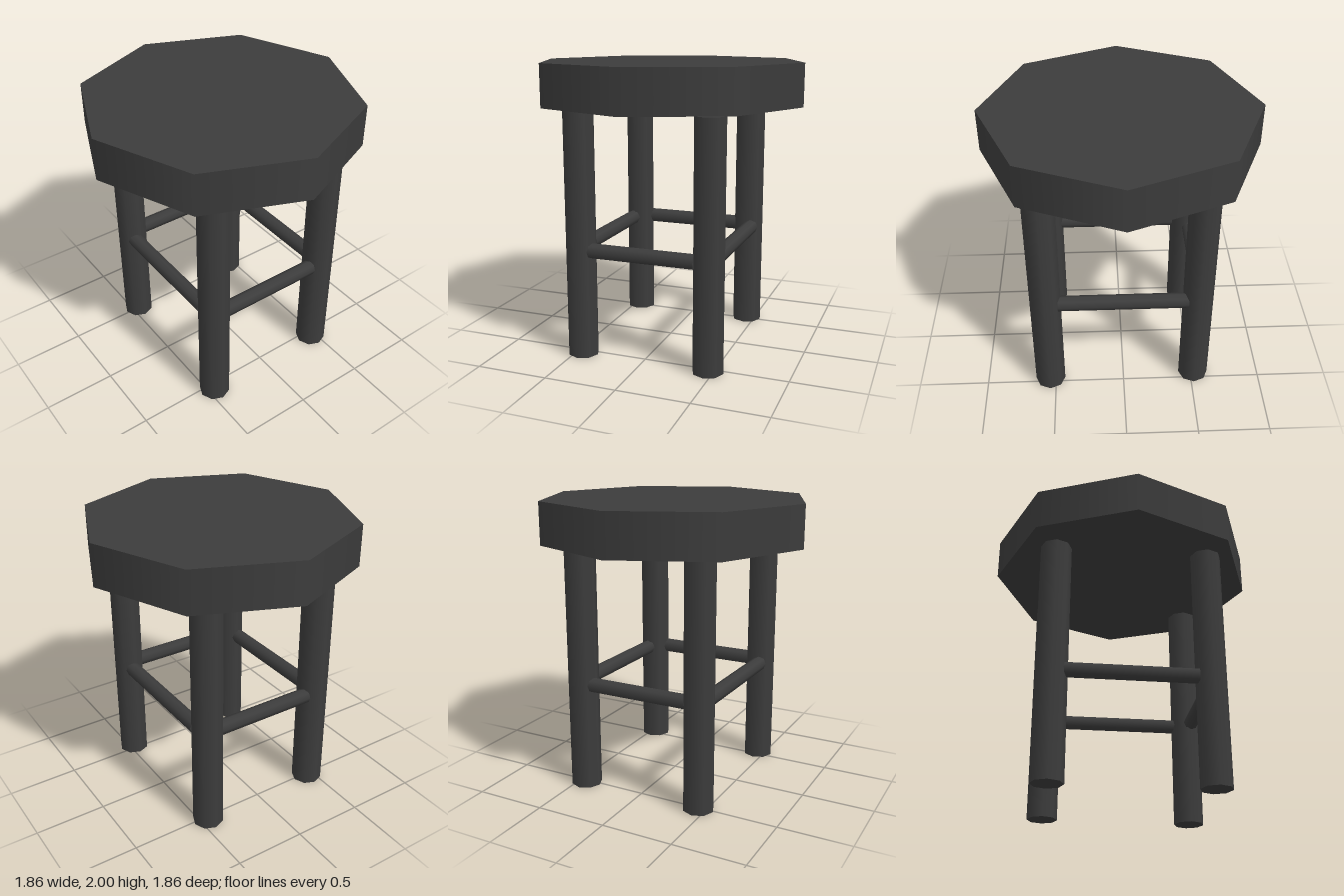
import * as THREE from 'three';

export function createModel() {
  const group = new THREE.Group();
  group.name = 'stool';
  const material = new THREE.MeshStandardMaterial({ color: 0x3c3c3c });

  // Upright eight-sided post between two heights
  function post(name, radius, bottom, top, x, z) {
    const mesh = new THREE.Mesh(new THREE.CylinderGeometry(radius, radius, top - bottom, 8), material);
    mesh.name = name;
    mesh.position.set(x, (bottom + top) / 2, z);
    group.add(mesh);
  }

  // Horizontal rung, turned to lie along x or z
  function rung(name, length, x, z, alongX) {
    const mesh = new THREE.Mesh(new THREE.CylinderGeometry(0.053, 0.053, length, 8), material);
    mesh.name = name;
    mesh.position.set(x, 0.755, z);
    if (alongX) mesh.rotation.z = Math.PI / 2;
    else mesh.rotation.x = Math.PI / 2;
    group.add(mesh);
  }

  // Octagonal seat, floating just above the legs
  post('seat', 0.93, 1.71, 2, 0, 0);

  // Four legs, slightly uneven in placement
  const legs = [
    ['frontLeftLeg', 0.463, 0.54],
    ['frontRightLeg', -0.447, 0.54],
    ['backLeftLeg', 0.44, -0.52],
    ['backRightLeg', -0.447, -0.512],
  ];
  for (const [name, x, z] of legs) post(name, 0.107, 0, 1.695, x, z);

  // Rungs joining neighbouring legs, set a little outward
  rung('frontRung', 0.745, 0.003, 0.565, true);
  rung('backRung', 0.745, 0.003, -0.54, true);
  rung('leftRung', 0.9, 0.475, 0.003, false);
  rung('rightRung', 0.9, -0.47, 0.003, false);

  return group;
}
